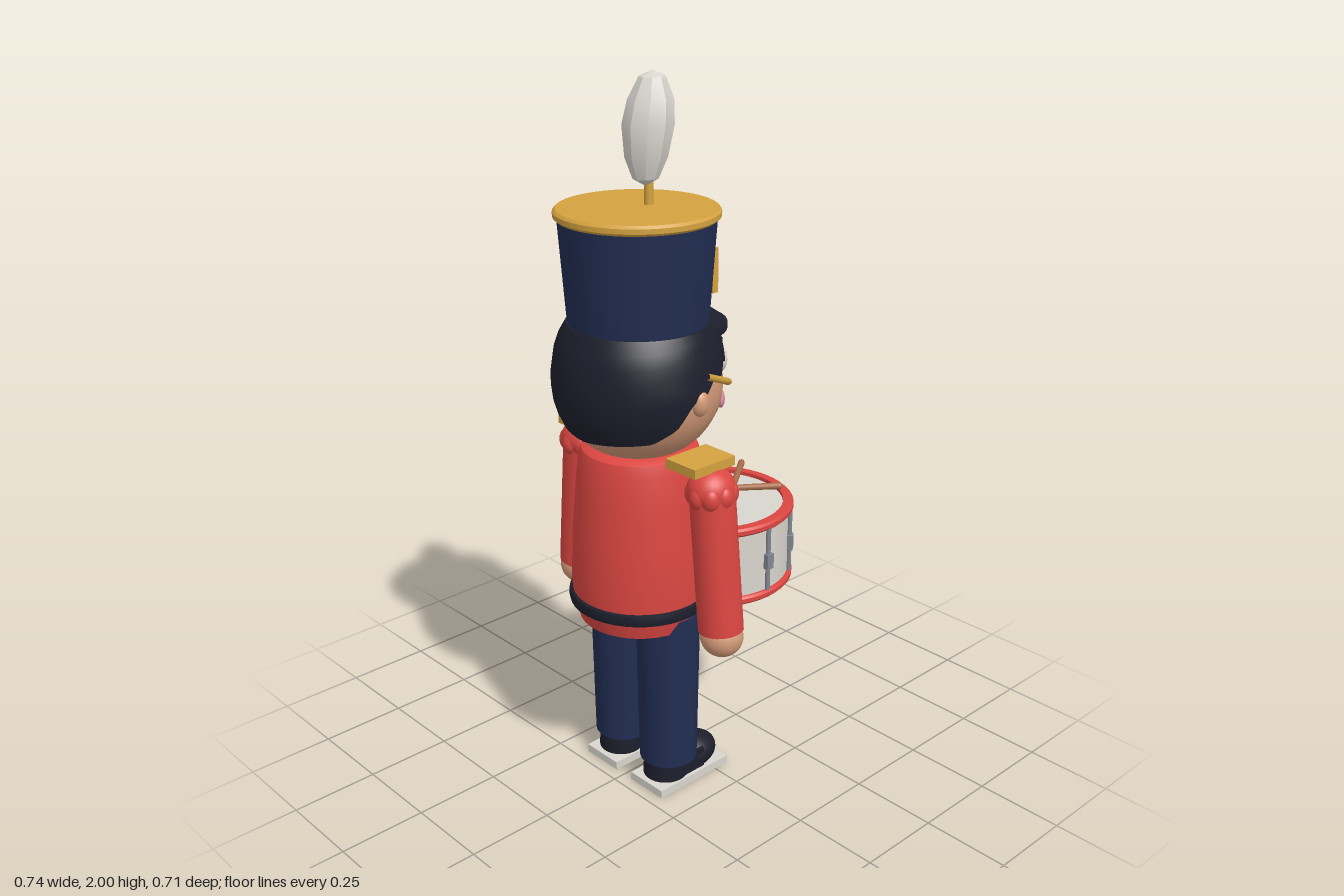
import * as THREE from 'three';
import { toCreasedNormals } from 'three/addons/utils/BufferGeometryUtils.js';

const mat = (name, color, side = THREE.FrontSide) => {
  const m = new THREE.MeshStandardMaterial({ color, side });
  m.name = name;
  return m;
};

export function createModel() {
  const root = new THREE.Group();
  root.name = 'toyDrummer';
  const red = mat('coat red', 0xdb4641), navy = mat('navy', 0x212d52);
  const black = mat('blue black', 0x1c1e2b, THREE.DoubleSide), gold = mat('gold', 0xd3a240);
  const skin = mat('skin', 0xd39a78), white = mat('off white', 0xd9d5ce);
  const wood = mat('wood brown', 0xa86c4a), steel = mat('steel grey', 0x838a93);
  const pink = mat('cheek pink', 0xd98a9f);
  const CX = -0.14; // axis of head, hat and coat

  const add = (name, geo, material, x = 0, y = 0, z = 0) => {
    const m = new THREE.Mesh(geo, material);
    m.name = name;
    m.position.set(x, y, z);
    root.add(m);
    return m;
  };
  const box = (name, m, w, h, d, x, y, z) => add(name, new THREE.BoxGeometry(w, h, d), m, x, y, z);
  const ball = (name, m, rx, ry, rz, x, y, z) => {
    const b = add(name, new THREE.SphereGeometry(1, 28, 18), m, x, y, z);
    b.scale.set(rx, ry, rz);
    return b;
  };
  const cyl = (name, m, rTop, rBottom, h, x, y, z, seg = 36) =>
    add(name, new THREE.CylinderGeometry(rTop, rBottom, h, seg), m, x, y, z);
  // Profiles are [radius, height] listed so the surface faces outwards
  const lathe = (name, m, pts, x = 0, z = 0, seg = 40) => add(name, toCreasedNormals(
    new THREE.LatheGeometry(pts.map(p => new THREE.Vector2(...p)), seg), 0.7), m, x, 0, z);
  const tube = (name, m, pts, r, seg = 32) => add(name, new THREE.TubeGeometry(
    new THREE.CatmullRomCurve3(pts.map(p => new THREE.Vector3(...p))), seg, r, 8), m);
  const rod = (name, m, a, b, r0, r1) => {
    const A = new THREE.Vector3(...a), B = new THREE.Vector3(...b), d = B.clone().sub(A);
    const c = cyl(name, m, r1, r0, d.length(), 0, 0, 0, 20);
    c.position.copy(A).add(B).multiplyScalar(0.5);
    c.quaternion.setFromUnitVectors(new THREE.Vector3(0, 1, 0), d.normalize());
    return c;
  };
  // Piecewise linear lookup in rows of [input, output]
  const lookup = (rows, v) => {
    for (let i = 1; i < rows.length; i++) {
      const [a, p] = rows[i - 1], [b, q] = rows[i];
      if (v <= b) return p + (q - p) * Math.max(0, (v - a) / (b - a));
    }
    return rows[rows.length - 1][1];
  };

  // Coat, skirt and belt
  lathe('coat', red, [[0, 0.57], [0.188, 0.57], [0.192, 0.64], [0.186, 0.78], [0.176, 0.9],
    [0.167, 0.99], [0.158, 1.02], [0.14, 1.03], [0, 1.03]], CX);
  lathe('coatSkirt', red, [[0, 0.53], [0.15, 0.53], [0.172, 0.52], [0.186, 0.575], [0, 0.575]], CX);
  lathe('belt', black, [[0.18, 0.565], [0.198, 0.57], [0.201, 0.585], [0.198, 0.6], [0.18, 0.605]], CX);

  // Coat front: braid, buttons and white strap
  for (const y of [0.82, 0.905]) {
    tube('braid', gold, [[0.035, y, 0.11], [0.066, y, 0.05], [0.07, y, 0], [0.066, y, -0.05], [0.035, y, -0.11]], 0.007);
    ball('button', gold, 0.014, 0.016, 0.016, 0.073, y, 0);
  }
  const strap = box('strap', white, 0.015, 0.06, 0.24, 0.067, 0.855, -0.1);
  strap.rotation.x = 0.59;
  const strapEnd = box('strapEnd', white, 0.018, 0.025, 0.06, 0.075, 0.795, 0.125);
  strapEnd.rotation.x = 0.4;

  // Arms, legs and shoes, mirrored
  for (const s of [1, -1]) {
    rod('sleeve', red, [-0.115, 0.565, s * 0.293], [-0.118, 0.97, s * 0.256], 0.062, 0.062);
    ball('shoulder', red, 0.068, 0.06, 0.062, -0.12, 0.965, s * 0.256);
    for (let i = 0; i < 8; i++) {
      const a = i * Math.PI / 4;
      ball('shoulderFringe', red, 0.026, 0.034, 0.026,
        -0.12 + 0.047 * Math.cos(a), 0.955, s * 0.258 + 0.043 * Math.sin(a));
    }
    box('epaulette', gold, 0.145, 0.026, 0.11, -0.125, 1.032, s * 0.22);
    ball('hand', skin, 0.058, 0.057, 0.06, -0.115, 0.546, s * 0.296);

    cyl('trouserLeg', navy, 0.09, 0.082, 0.47, -0.127, 0.32, s * 0.097);
    cyl('shoeAnkle', black, 0.062, 0.064, 0.075, -0.138, 0.066, s * 0.097);
    ball('shoeToe', black, 0.082, 0.052, 0.062, -0.038, 0.056, s * 0.097);
    box('shoeInstep', black, 0.1, 0.06, 0.116, -0.09, 0.058, s * 0.097);
    box('sole', white, 0.262, 0.024, 0.13, -0.083, 0.012, s * 0.097);
  }

  // Head and face
  ball('head', skin, 0.224, 0.208, 0.224, CX, 1.2, 0);
  ball('nose', skin, 0.032, 0.032, 0.032, 0.086, 1.19, 0);
  box('mouth', wood, 0.02, 0.014, 0.085, 0.066, 1.108, 0);
  for (const s of [1, -1]) {
    ball('ear', skin, 0.025, 0.036, 0.022, -0.13, 1.195, s * 0.222);
    ball('eyeWhite', white, 0.022, 0.042, 0.038, 0.066, 1.238, s * 0.08);
    ball('pupil', black, 0.012, 0.03, 0.028, 0.081, 1.238, s * 0.076);
    ball('eyeGlint', white, 0.005, 0.009, 0.009, 0.091, 1.25, s * 0.076 + 0.01);
    const cheek = ball('cheek', pink, 0.012, 0.025, 0.028, 0.024, 1.148, s * 0.141);
    cheek.rotation.y = -s * 0.7;
    const brow = box('eyebrow', black, 0.016, 0.016, 0.065, 0.063, 1.3, s * 0.08);
    brow.rotation.set(s * 0.15, -s * 0.4, 0);
  }
  const strapHalf = [[-0.115, 1.265, 0.232], [-0.01, 1.22, 0.2], [0.065, 1.18, 0.115]];
  tube('chinStrap', gold, [...strapHalf, [0.104, 1.158, 0],
    ...strapHalf.map(([x, y, z]) => [x, y, -z]).reverse()], 0.009, 48);

  // Hair: a cap whose lower edge follows a hairline around the head
  const hairline = [[0, 1.318], [10, 1.285], [15, 1.312], [24, 1.295], [31, 1.275], [38, 1.295],
    [48, 1.262], [55, 1.275], [66, 1.235], [74, 1.25], [84, 1.215], [95, 1.2], [106, 1.135],
    [122, 1.1], [180, 1.08]];
  const hairRadius = [[1.07, 0.186], [1.1, 0.207], [1.15, 0.226], [1.22, 0.234], [1.3, 0.222],
    [1.35, 0.205], [1.37, 0.19]];
  const rows = 10;
  const hairGeo = new THREE.LatheGeometry(
    Array.from({ length: rows + 1 }, (_, i) => new THREE.Vector2(1, i)), 96);
  const p = hairGeo.attributes.position;
  for (let i = 0; i < p.count; i++) {
    const az = Math.atan2(p.getZ(i), p.getX(i)), row = Math.round(p.getY(i));
    const low = lookup(hairline, Math.abs(az) * 180 / Math.PI);
    const y = row === 0 ? low : low + (1.37 - low) * Math.min(1, (row - 1) / (rows - 2));
    const r = row === rows ? 0 : lookup(hairRadius, y) - (row === 0 ? 0.03 : 0);
    p.setXYZ(i, r * Math.cos(az), y, r * Math.sin(az));
  }
  add('hair', toCreasedNormals(hairGeo, 0.7), black, CX);

  // Hat with peak, badge and plume
  cyl('hatBody', navy, 0.205, 0.183, 0.305, CX, 1.493, 0, 48);
  lathe('hatTop', gold, [[0, 1.64], [0.207, 1.64], [0.215, 1.647], [0.215, 1.66], [0.208, 1.667],
    [0, 1.667]], CX, 0, 48);
  const peak = add('hatPeak', new THREE.SphereGeometry(1, 36, 8, 0, Math.PI * 2, 0, Math.PI / 2), black, -0.055, 1.342, 0);
  peak.scale.set(0.165, 0.052, 0.165);
  const rim = cyl('hatPeakRim', black, 1, 1, 0.016, -0.055, 1.338, 0);
  rim.scale.set(0.177, 1, 0.168);
  box('badge', gold, 0.02, 0.122, 0.124, 0.08, 1.472, 0);
  ball('badgeStone', red, 0.02, 0.021, 0.021, 0.096, 1.472, 0);
  cyl('plumeStem', gold, 0.012, 0.012, 0.09, -0.1, 1.7, 0, 12);

  const plumeGeo = new THREE.LatheGeometry([[0, 1.715], [0.035, 1.735], [0.058, 1.79], [0.07, 1.87],
    [0.062, 1.93], [0.036, 1.985], [0, 2]].map(q => new THREE.Vector2(...q)), 9);
  const q = plumeGeo.attributes.position;
  for (let i = 0; i < q.count; i++) { // lean and squash the feather
    const y = q.getY(i);
    q.setX(i, q.getX(i) + 0.03 * Math.sin((y - 1.86) * 9) * (y > 1.86 ? 0.6 : 0.3));
    q.setZ(i, q.getZ(i) * 0.92);
  }
  add('plume', toCreasedNormals(plumeGeo, 0.5), white, -0.102);

  // Drum with hoops, tension rods and sticks
  const DX = 0.133, DR = 0.224;
  cyl('drumShell', white, DR, DR, 0.2, DX, 0.662, 0, 48);
  for (const y of [0.547, 0.757]) {
    lathe('drumHoop', red, [[0.206, y], [0.23, y], [0.236, y + 0.006], [0.236, y + 0.018],
      [0.23, y + 0.024], [0.206, y + 0.024], [0.206, y]], DX, 0, 48);
  }
  cyl('drumHead', white, 0.208, 0.208, 0.01, DX, 0.765, 0, 48);
  cyl('drumBase', white, 0.208, 0.208, 0.01, DX, 0.559, 0, 48);
  for (let i = 0; i < 10; i++) {
    const a = (i + 0.5) * Math.PI / 5, c = Math.cos(a), s = Math.sin(a);
    cyl('tensionRod', steel, 0.007, 0.007, 0.19, DX + c * 0.228, 0.664, s * 0.228, 8);
    const lug = box('drumLug', steel, 0.02, 0.045, 0.024, DX + c * 0.229, 0.66, s * 0.229);
    lug.rotation.y = -a;
  }
  for (const [a, b] of [[[0.08, 0.787, 0.105], [0.335, 0.805, -0.078]],
    [[0.075, 0.782, -0.11], [0.31, 0.794, 0.1]]]) {
    rod('drumstick', wood, a, b, 0.007, 0.01);
    ball('drumstickTip', wood, 0.01, 0.01, 0.01, ...b);
  }

  return root;
}
